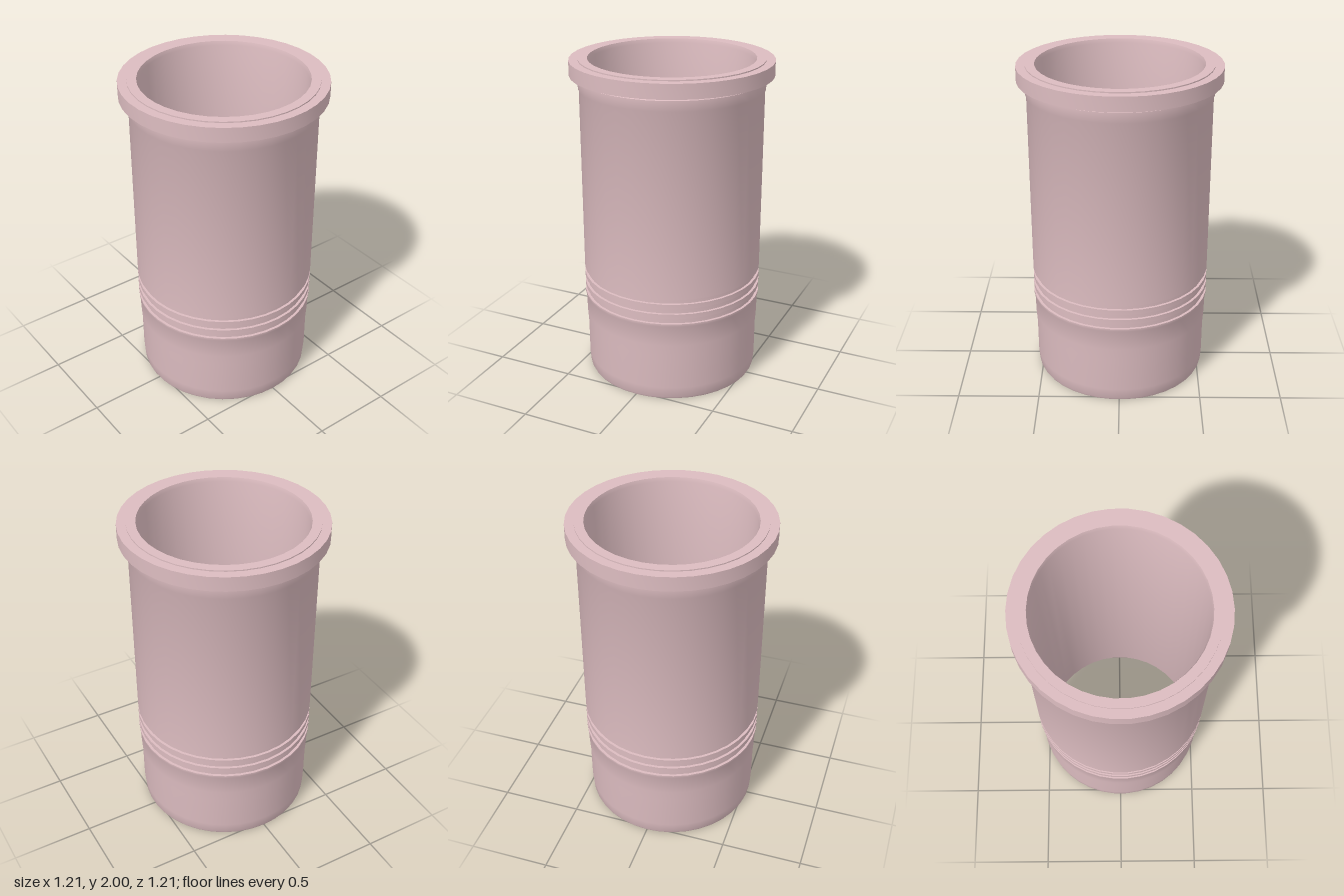
import * as THREE from 'three';
import { toCreasedNormals } from 'three/addons/utils/BufferGeometryUtils.js';

const SIDES = 38;

export function createModel() {
  const group = new THREE.Group();
  group.name = 'cylinderLiner';
  const material = new THREE.MeshStandardMaterial({ color: 0xdcbcc0 });

  // Revolve a [radius, height] profile; upward profiles face outward
  const revolve = (name, profile) => {
    const points = profile.map(([r, y]) => new THREE.Vector2(r, y));
    const geometry = toCreasedNormals(new THREE.LatheGeometry(points, SIDES), Math.PI / 6);
    const mesh = new THREE.Mesh(geometry, material);
    mesh.name = name;
    group.add(mesh);
  };

  // Bottom rim and gently tapered skirt
  revolve('lowerSkirt', [
    [0.496, 0], [0.525, 0], [0.531, 0.012], [0.537, 0.08],
    [0.538, 0.3], [0.543, 0.375], [0.546, 0.5], [0.551, 0.51], [0.551, 0.525],
  ]);

  // Three seal grooves separated by two ridges
  const grooves = [[0.551, 0.525]];
  for (const [low, high] of [[0.525, 0.56], [0.59, 0.625], [0.655, 0.685]]) {
    grooves.push([0.551, low], [0.535, low], [0.535, high], [0.551, high]);
  }
  revolve('sealGrooves', grooves.slice(1));

  // Main barrel, locating band and the undercut below the flange
  revolve('barrel', [
    [0.551, 0.685], [0.551, 1.815], [0.556, 1.825],
    [0.556, 1.885], [0.547, 1.895], [0.547, 1.905],
  ]);

  // Top flange with a slightly raised inner face
  revolve('flange', [
    [0.547, 1.905], [0.606, 1.905], [0.606, 1.993],
    [0.552, 1.993], [0.552, 2], [0.497, 2],
  ]);

  // Bore wall with a chamfered mouth at each end
  revolve('bore', [
    [0.497, 2], [0.49, 1.975], [0.49, 0.015], [0.496, 0],
  ]);

  return group;
}
